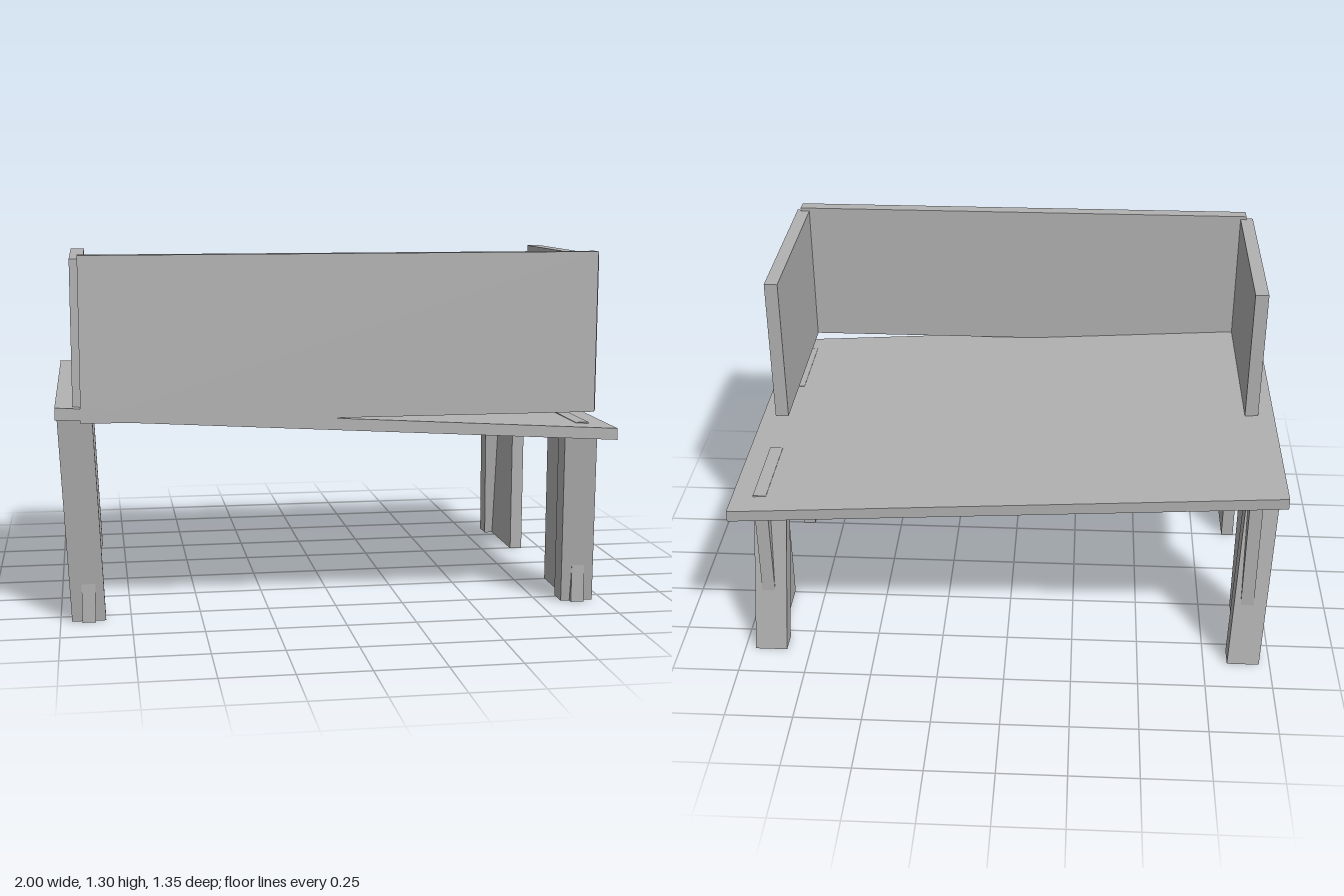
import * as THREE from 'three';

const grey = new THREE.MeshStandardMaterial({ color: 0xb2b2b2 });
grey.name = 'plain grey';

// Height of the sloping tabletop's underside at a given x
const underside = (x) => 0.685 - 0.06 * x;

// Box given by its lower and upper limits on each axis
function box(name, x0, x1, y0, y1, z0, z1) {
  const geometry = new THREE.BoxGeometry(x1 - x0, y1 - y0, z1 - z0);
  geometry.translate((x0 + x1) / 2, (y0 + y1) / 2, (z0 + z1) / 2);
  const mesh = new THREE.Mesh(geometry, grey);
  mesh.name = name;
  return mesh;
}

// Move every vertex of a mesh by a rule, then refresh its normals
function reshape(mesh, rule) {
  const p = mesh.geometry.attributes.position;
  const v = new THREE.Vector3();
  for (let i = 0; i < p.count; i++) {
    v.fromBufferAttribute(p, i);
    rule(v);
    p.setXYZ(i, v.x, v.y, v.z);
  }
  mesh.geometry.computeVertexNormals();
  return mesh;
}

// Leg: a leaning post crossed by an upright fin running front to back
function leg(name, side, isFront) {
  const group = new THREE.Group();
  group.name = name;
  const x = side * 0.9;
  const z = isFront ? 0.523 : -0.577;
  const post = box(name + 'Post', x - 0.06, x + 0.06, 0, 1, z - 0.039, z + 0.039);
  reshape(post, (v) => {
    if (v.y > 0.5) v.y = underside(v.x) + 0.01;
    v.z += 0.143 * v.y;
    v.x -= 0.045 * v.y;
  });
  // Right-hand slots of the low end let the fin tops show through the tabletop
  const finTop = side > 0 ? 0.677 : 0.745;
  const [z0, z1] = isFront ? [0.247, 0.582] : [-0.58, -0.242];
  const finX = side > 0 ? 0.897 : -0.9;
  group.add(post, box(name + 'Fin', finX - 0.024, finX + 0.024, 0, finTop, z0, z1));
  return group;
}

export function createModel() {
  const desk = new THREE.Group();
  desk.name = 'desk';

  // Tabletop sloping down towards +x
  const top = box('tabletop', -1, 1, 0, 0.042, -0.675, 0.675);
  desk.add(reshape(top, (v) => { v.y += underside(v.x); }));

  // Screens around the front half
  desk.add(box('frontScreen', -0.913, 0.91, 0.73, 1.303, 0.625, 0.675));
  desk.add(box('rightScreen', -0.94, -0.89, 0.727, 1.29, -0.087, 0.637));
  desk.add(box('leftScreen', 0.875, 0.925, 0.727, 1.29, -0.087, 0.637));

  // Four legs
  for (const side of [-1, 1]) {
    for (const isFront of [true, false]) {
      const name = (isFront ? 'front' : 'back') + (side > 0 ? 'Left' : 'Right') + 'Leg';
      desk.add(leg(name, side, isFront));
    }
  }
  return desk;
}
